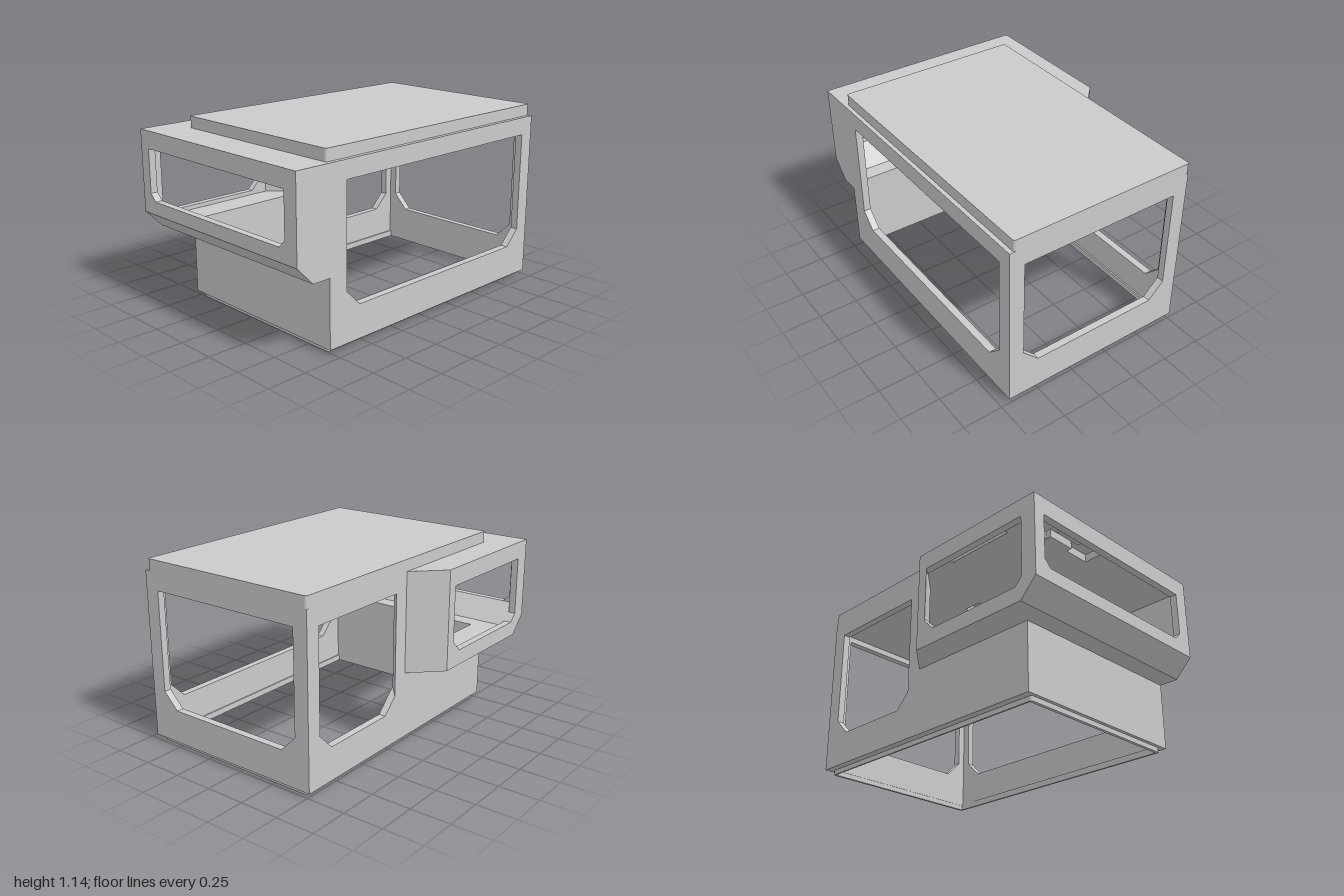
import * as THREE from 'three';

const shell = new THREE.MeshStandardMaterial({ color: 0xcacaca });
shell.name = 'matte grey';

const points = (list) => list.map(([a, b]) => new THREE.Vector2(a, b));

// Outlines are made counter-clockwise so that hole walls face into the hole
function extrude(outline, holes, depth) {
  const contour = points(outline);
  if (THREE.ShapeUtils.isClockWise(contour)) contour.reverse();
  const shape = new THREE.Shape(contour);
  for (const hole of holes) shape.holes.push(new THREE.Path(points(hole)));
  return new THREE.ExtrudeGeometry(shape, { depth, bevelEnabled: false });
}

const rect = (a0, b0, a1, b1) => [[a0, b0], [a1, b0], [a1, b1], [a0, b1]];

// Window outline with its two lower corners cut off
const windowHole = (a0, b0, a1, b1, cut0, cut1 = cut0) => [
  [a0 + cut0, b0], [a1 - cut1, b0], [a1, b0 + cut1], [a1, b1], [a0, b1], [a0, b0 + cut0],
];

// Rectangle with small rounded corners
function rounded(a0, b0, a1, b1, r) {
  const out = [];
  const corners = [[a1 - r, b1 - r], [a0 + r, b1 - r], [a0 + r, b0 + r], [a1 - r, b0 + r]];
  corners.forEach(([a, b], i) => {
    for (let k = 0; k <= 4; k++) {
      const t = (i + k / 4) * Math.PI / 2;
      out.push([a + r * Math.cos(t), b + r * Math.sin(t)]);
    }
  });
  return out;
}

export function createModel() {
  const model = new THREE.Group();
  model.name = 'cabin';

  const add = (name, geometry) => {
    const mesh = new THREE.Mesh(geometry, shell);
    mesh.name = name;
    model.add(mesh);
  };
  // Outline in x, y; thickness along z
  const facing = (name, outline, holes, z0, z1) =>
    add(name, extrude(outline, holes, z1 - z0).translate(0, 0, z0));
  // Outline in z, y; thickness along x
  const side = (name, outline, holes, x0, x1) => {
    const flip = (list) => list.map(([z, y]) => [-z, y]);
    add(name, extrude(flip(outline), holes.map(flip), x1 - x0).rotateY(Math.PI / 2).translate(x0, 0, 0));
  };
  // Outline in x, z; thickness along y
  const plan = (name, outline, holes, y0, y1) => {
    const flip = (list) => list.map(([x, z]) => [x, -z]);
    add(name, extrude(flip(outline), holes.map(flip), y1 - y0).rotateX(-Math.PI / 2).translate(0, y0, 0));
  };

  const top = 1.073; // top of the walls
  const head = 0.963; // top of every window
  const front = 0.696;
  const back = -0.515;
  const rear = -0.695; // back of the overhang

  // Front wall, including the end of the overhang
  facing('frontWall',
    [[-1, 0.56], [-0.89, 0.447], [-0.77, 0.447], [-0.77, 0.03], [1, 0.03], [1, top], [-1, top]],
    [windowHole(-0.645, 0.237, 0.905, head, 0.1)], 0.65, front);

  // Left wall with its large window
  side('leftWall', rect(back, 0.03, front, top),
    [windowHole(-0.42, 0.237, 0.602, head, 0.1)], 0.955, 1);

  // Low right wall below the overhang
  side('lowerRightWall', rect(back, 0.03, front, 0.516), [], -0.77, -0.725);

  // Back wall: low beside the overhang, full height with a window elsewhere
  facing('backWall',
    [[-0.77, 0.03], [1, 0.03], [1, top], [0.085, top], [0.085, 0.516], [-0.77, 0.516]],
    [windowHole(0.17, 0.237, 0.905, head, 0.135, 0.1)], back, -0.47);
  plan('backWindowJamb', [[0.17, -0.47], [0.17, back], [0.21, back]], [], 0.332, 0.97);

  // Overhang: back, right and slanted walls
  facing('overhangBackWall',
    [[-1, 0.56], [-0.89, 0.447], [-0.085, 0.447], [-0.085, top], [-1, top]],
    [windowHole(-0.9, 0.543, -0.09, head, 0.05, 0.115)], rear, -0.65);
  side('overhangRightWall', rect(rear, 0.56, front, top),
    [windowHole(-0.62, 0.643, 0.602, head, 0.045)], -1, -0.955);
  plan('overhangSlantedWall',
    [[0.11, back], [-0.07, rear], [-0.135, rear], [0.085, -0.47]], [], 0.447, top);

  // Overhang floor with a sloped outer edge
  plan('overhangFloor',
    [[-0.89, front], [-0.725, front], [-0.725, -0.47], [0.085, -0.47],
      [0.11, back], [-0.07, rear], [-0.89, rear]], [], 0.447, 0.516);
  facing('overhangSlope',
    [[-0.89, 0.447], [-0.83, 0.447], [-0.83, 0.516], [-0.955, 0.643], [-1, 0.643], [-1, 0.56]],
    [], rear, front);

  // Roof with ceiling recesses, then the raised cap
  const roof = [[-1, front], [1, front], [1, back], [0.11, back], [-0.07, rear], [-1, rear]];
  const dumbbell = (x, z0, z1) => [
    [x - 0.06, z0], [x + 0.06, z0], [x + 0.06, z0 + 0.17], [x + 0.025, z0 + 0.17],
    [x + 0.025, z1 - 0.17], [x + 0.06, z1 - 0.17], [x + 0.06, z1], [x - 0.06, z1],
    [x - 0.06, z1 - 0.17], [x - 0.025, z1 - 0.17], [x - 0.025, z0 + 0.17], [x - 0.06, z0 + 0.17],
  ];
  plan('ceiling', roof,
    [dumbbell(0.05, -0.14, 0.38), dumbbell(-0.87, -0.56, -0.04), rect(-0.7, -0.65, -0.25, -0.59)],
    1.0, 1.05);
  plan('roof', roof, [], 1.05, top);
  plan('roofCap', rounded(-0.77, back, 1, 0.67, 0.015), [], top, 1.145);

  // Open base with a narrow stepped lip
  const opening = rect(-0.728, -0.46, 0.957, 0.642);
  plan('baseFlange', rect(-0.77, back, 1, front), [opening], 0.03, 0.04);
  plan('baseLip', rounded(-0.748, -0.47, 0.975, 0.655, 0.015), [opening], 0, 0.03);

  return model;
}
